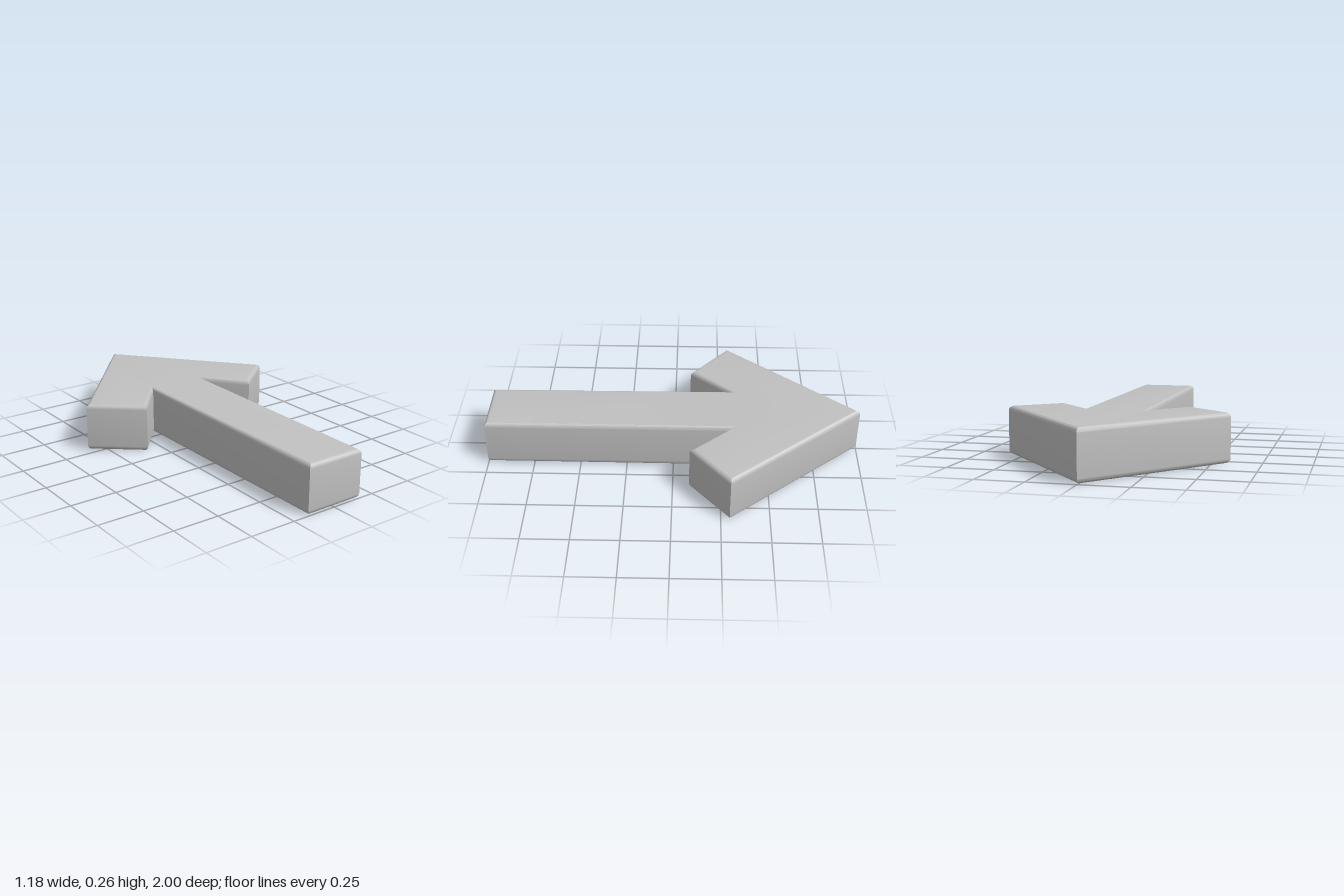
import * as THREE from 'three';
import { toCreasedNormals } from 'three/addons/utils/BufferGeometryUtils.js';

export function createModel() {
  const group = new THREE.Group();
  group.name = 'arrow';
  const grey = new THREE.MeshStandardMaterial({ color: 0xc0c0c0 });
  grey.name = 'light grey';

  const height = 0.26, bevel = 0.026;

  // One half of the outline (x, forward), from the shaft end to the tip
  const half = [[0.163, -1], [0.163, 0.303], [0.344, 0.087], [0.592, 0.295]];
  const mirrored = half.map(([x, y]) => [-x, y]).reverse();
  const outline = [...half, [0, 1], ...mirrored].map(([x, y]) => new THREE.Vector2(x, y));

  // Solid arrow with rounded top and bottom edges, pointing to the back
  const solid = new THREE.ExtrudeGeometry(new THREE.Shape(outline), {
    depth: height - 2 * bevel,
    bevelEnabled: true,
    bevelThickness: bevel,
    bevelSize: bevel,
    bevelOffset: -bevel,
    bevelSegments: 6,
  });
  solid.rotateX(-Math.PI / 2);
  solid.translate(0, bevel, 0);
  solid.clearGroups();

  const mesh = new THREE.Mesh(toCreasedNormals(solid, Math.PI / 6), grey);
  mesh.name = 'arrowBody';
  group.add(mesh);
  return group;
}
